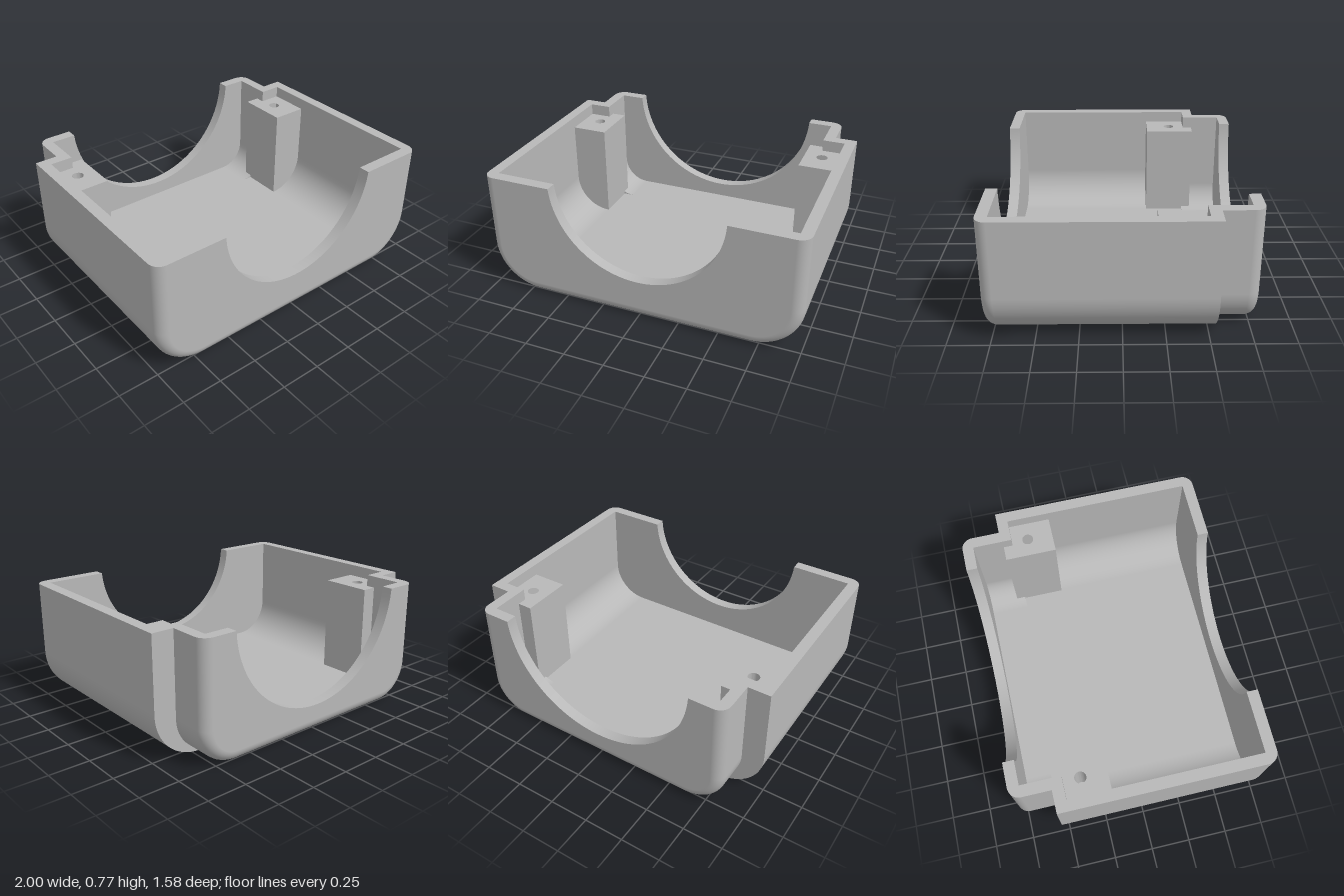
import * as THREE from 'three';
import { toCreasedNormals } from 'three/addons/utils/BufferGeometryUtils.js';

const H = 0.77;      // rim height
const WALL = 0.07;   // wall thickness, also the radius of the outer end edges
const N = 16;        // steps per bottom corner
const MAIN = { w: 1, r: 0.3 };      // wide front section
const REAR = { w: 0.86, r: 0.24 };  // narrower back section
const FRONT_Z = 0.79, STEP_Z = -0.54, BACK_Z = -0.79;

// U-shaped cross-section, left rim to right rim, with outward normals
function uProfile({ w, r }, inset = 0) {
  const c = w - r, rad = r - inset;
  const pts = [{ x: inset - w, y: H, nx: -1, ny: 0 }];
  for (const s of [-1, 1]) {
    for (let i = 0; i <= N; i++) {
      const a = (s < 0 ? 1 - i / N : i / N) * Math.PI / 2;
      const nx = s * Math.sin(a), ny = -Math.cos(a);
      pts.push({ x: s * c + nx * rad, y: r + ny * rad, nx, ny });
    }
  }
  pts.push({ x: w - inset, y: H, nx: 1, ny: 0 });
  return pts;
}

// Surface through U sections; rings run from back to front, tilt turns normals towards z
function skin(section, rings, inward = false) {
  const pos = [], nor = [], idx = [], n = 2 * N + 4, k = inward ? -1 : 1;
  for (const { z, inset = 0, tilt = 0 } of rings) {
    for (const p of uProfile(section, inset)) {
      pos.push(p.x, p.y, z);
      nor.push(k * p.nx * Math.cos(tilt), k * p.ny * Math.cos(tilt), k * Math.sin(tilt));
    }
  }
  for (let i = 0; i < rings.length - 1; i++) {
    for (let j = 0; j < n - 1; j++) {
      const a = i * n + j, b = a + 1, c = b + n, d = a + n;
      if (inward) idx.push(a, c, b, a, d, c);
      else idx.push(a, b, c, a, c, d);
    }
  }
  const g = new THREE.BufferGeometry();
  g.setAttribute('position', new THREE.Float32BufferAttribute(pos, 3));
  g.setAttribute('normal', new THREE.Float32BufferAttribute(nor, 3));
  g.setIndex(idx);
  return g;
}

// Rings of the quarter-round edge at an end (dir +1 front, -1 back)
function edgeRings(endZ, dir) {
  const rings = [];
  for (let i = 0; i <= 8; i++) {
    const a = i / 8 * Math.PI / 2;
    rings.push({ z: endZ - dir * WALL * (1 - Math.sin(a)), inset: WALL * (1 - Math.cos(a)), tilt: dir * a });
  }
  return dir > 0 ? rings : rings.reverse();
}

// End wall with a round cut-out
function endWall(section, radius, z) {
  const cy = 0.805, a0 = Math.asin((cy - H) / radius);
  const pts = uProfile(section, WALL).map(p => new THREE.Vector2(p.x, p.y));
  for (let i = 0; i <= 64; i++) {
    const a = -a0 - (Math.PI - 2 * a0) * i / 64;
    pts.push(new THREE.Vector2(radius * Math.cos(a), cy + radius * Math.sin(a)));
  }
  const g = new THREE.ExtrudeGeometry(new THREE.Shape(pts), { depth: WALL, bevelEnabled: false });
  return toCreasedNormals(g.translate(0, 0, z), 0.5);
}

// Crescent face between the wide and narrow sections
function stepFace(side, inset, z, facesBack) {
  const half = s => uProfile(s, inset).slice(N + 2).map(p => new THREE.Vector2(side * p.x, p.y));
  const g = new THREE.ShapeGeometry(new THREE.Shape([...half(MAIN).reverse(), ...half(REAR)]));
  if (facesBack) g.rotateY(Math.PI);
  return g.translate(0, 0, z);
}

// Flat top edge of one side wall, drawn in plan (shape y = -z)
function rimFace(side) {
  const pts = [];
  const add = (x, z) => pts.push(new THREE.Vector2(side * x, -z));
  const arc = (cx, cz, from, to) => {
    for (let i = 0; i <= 8; i++) {
      const a = from + (to - from) * i / 8;
      add(cx + WALL * Math.cos(a), cz + WALL * Math.sin(a));
    }
  };
  const iM = MAIN.w - WALL, iR = REAR.w - WALL;
  add(iM, FRONT_Z - WALL);
  add(iM, STEP_Z + WALL);
  add(iR, STEP_Z + WALL);
  add(iR, BACK_Z + WALL);
  arc(iR, BACK_Z + WALL, -Math.PI / 2, 0);
  add(REAR.w, STEP_Z);
  add(MAIN.w, STEP_Z);
  arc(iM, FRONT_Z - WALL, 0, Math.PI / 2);
  return new THREE.ShapeGeometry(new THREE.Shape(pts)).rotateX(-Math.PI / 2).translate(0, H, 0);
}

// Screw post: drilled upper block above a foot that follows the rounded corner
function screwPost(side, material) {
  const x0 = 0.695, x1 = 0.93, z0 = -0.53, z1 = -0.2, mid = 0.35, top = 0.695;
  const post = new THREE.Group();
  const plan = new THREE.Shape([[x0, -z0], [x1, -z0], [x1, -z1], [x0, -z1]]
    .map(([x, y]) => new THREE.Vector2(side * x, y)));
  plan.holes.push(new THREE.Path().absarc(side * 0.812, 0.365, 0.036, 0, Math.PI * 2, true));
  const block = new THREE.ExtrudeGeometry(plan, { depth: top - mid, bevelEnabled: false, curveSegments: 24 });
  block.rotateX(-Math.PI / 2).translate(0, mid, 0);

  const curve = uProfile(MAIN, WALL).slice(N + 2, -1).filter(p => p.x > x0);
  const outline = [{ x: x0, y: WALL }, ...curve, { x: x1, y: mid }, { x: x0, y: mid }];
  const foot = new THREE.ExtrudeGeometry(
    new THREE.Shape(outline.map(p => new THREE.Vector2(side * p.x, p.y))),
    { depth: z1 - z0, bevelEnabled: false }).translate(0, 0, z0);

  post.add(new THREE.Mesh(toCreasedNormals(block, 0.5), material));
  post.add(new THREE.Mesh(toCreasedNormals(foot, 0.5), material));
  post.children[0].name = 'drilledBlock';
  post.children[1].name = 'postFoot';
  return post;
}

export function createModel() {
  const model = new THREE.Group();
  model.name = 'housingHalf';
  const grey = new THREE.MeshStandardMaterial({ color: 0xb8b8b8 });
  grey.name = 'grey';
  const add = (name, geometry) => {
    const mesh = new THREE.Mesh(geometry, grey);
    mesh.name = name;
    model.add(mesh);
  };

  // Outer and inner surfaces of both sections
  add('mainOuterShell', skin(MAIN, [{ z: STEP_Z }, ...edgeRings(FRONT_Z, 1)]));
  add('rearOuterShell', skin(REAR, [...edgeRings(BACK_Z, -1), { z: STEP_Z }]));
  add('mainInnerShell', skin(MAIN, [{ z: STEP_Z + WALL, inset: WALL }, { z: FRONT_Z - WALL, inset: WALL }], true));
  add('rearInnerShell', skin(REAR, [{ z: BACK_Z + WALL, inset: WALL }, { z: STEP_Z + WALL, inset: WALL }], true));

  // End walls with half-round openings
  add('frontWall', endWall(MAIN, 0.55, FRONT_Z - WALL));
  add('backWall', endWall(REAR, 0.638, BACK_Z));

  // Paired side details
  for (const [side, label] of [[1, 'left'], [-1, 'right']]) {
    add(label + 'Rim', rimFace(side));
    add(label + 'OuterStep', stepFace(side, 0, STEP_Z, true));
    add(label + 'InnerStep', stepFace(side, WALL, STEP_Z + WALL, false));
    const post = screwPost(side, grey);
    post.name = label + 'ScrewPost';
    model.add(post);
  }
  return model;
}
